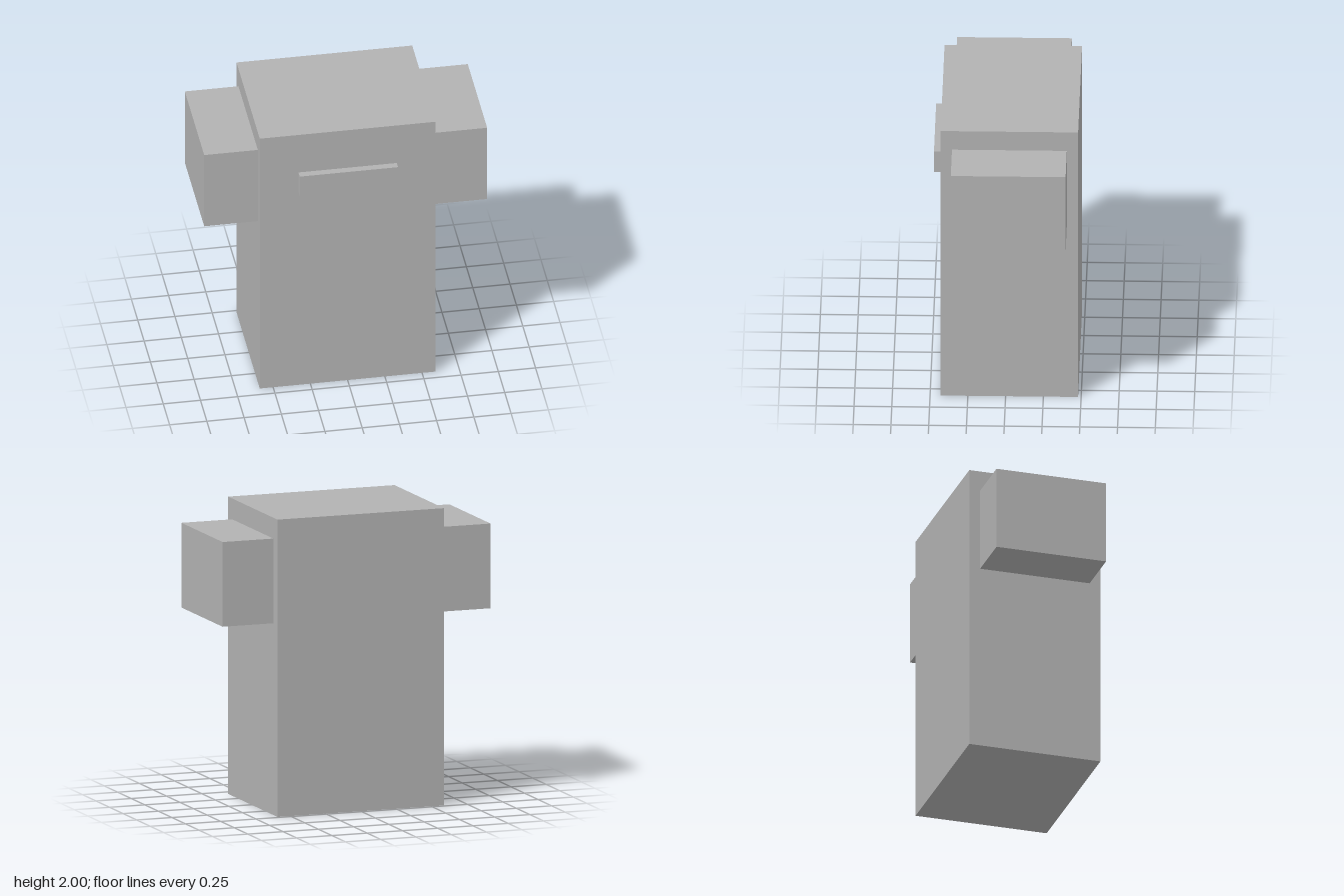
import * as THREE from 'three';

export function createModel() {
  const model = new THREE.Group();
  const grey = new THREE.MeshStandardMaterial({ color: 0xb2b2b2 });
  grey.name = 'plain grey';

  // Box given by its lower and upper corners
  function addBox(name, min, max) {
    const size = max.map((v, i) => v - min[i]);
    const mesh = new THREE.Mesh(new THREE.BoxGeometry(...size), grey);
    mesh.position.set(...max.map((v, i) => (v + min[i]) / 2));
    mesh.name = name;
    model.add(mesh);
  }

  // Upright main block
  addBox('body', [-0.59, 0, -0.48], [0.59, 2, 0.43]);

  // Raised bar on the front
  addBox('frontBar', [-0.33, 1.545, 0.43], [0.33, 1.70, 0.48]);

  // Side blocks
  addBox('leftSideBlock', [0.59, 1.29, -0.405], [0.95, 1.86, 0.355]);
  addBox('rightSideBlock', [-0.95, 1.29, -0.405], [-0.59, 1.86, 0.355]);

  return model;
}
